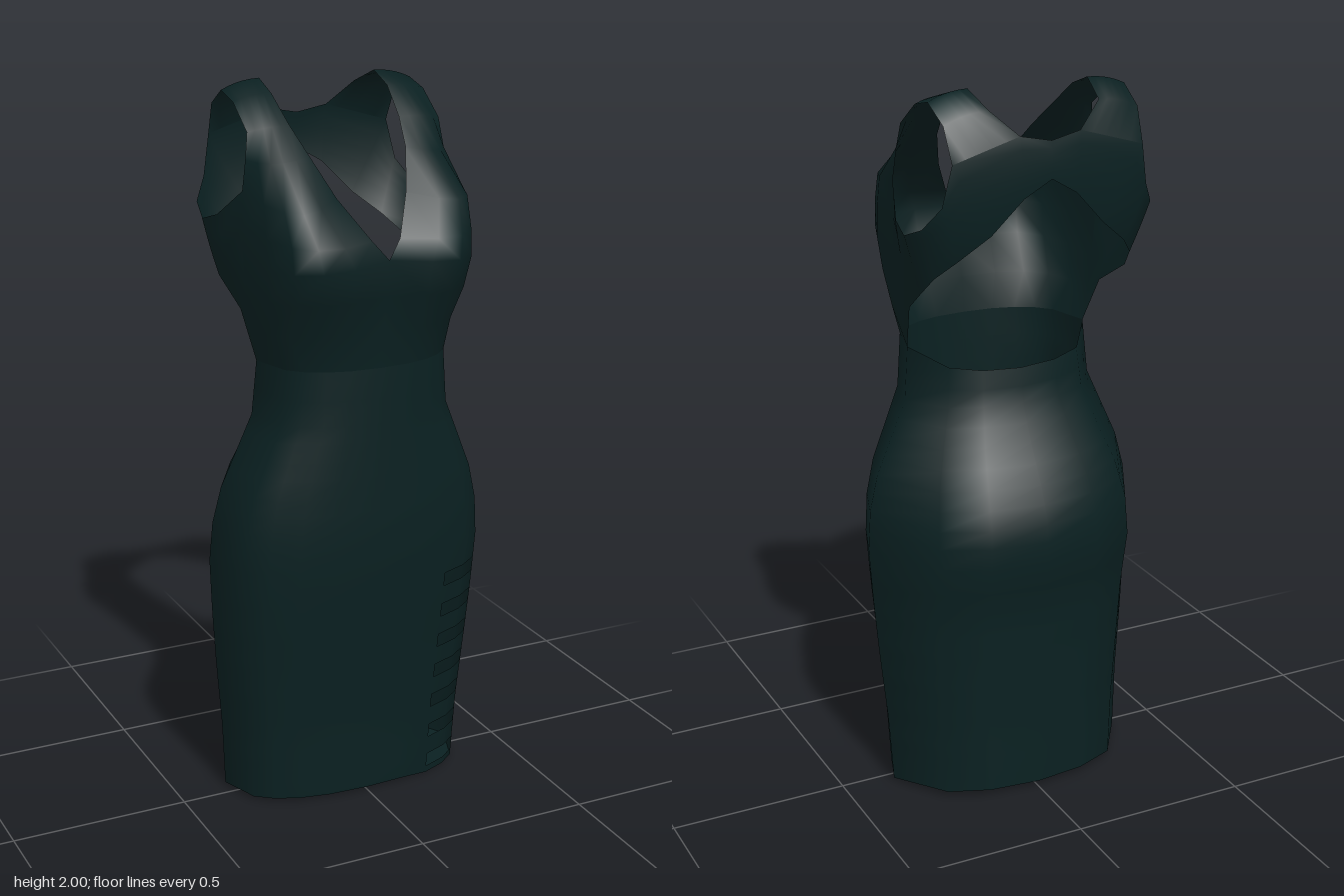
import * as THREE from 'three';
import { mergeGeometries, mergeVertices } from 'three/addons/utils/BufferGeometryUtils.js';

const fabric = new THREE.MeshStandardMaterial({ color: 0x0a2021, side: THREE.DoubleSide });
fabric.name = 'dark teal fabric';

// Grid surface: point(row, col) gives [x, y, z]; skipped cells become openings.
function grid(rows, cols, point, flip = false, skip = () => false) {
  const pos = [], index = [];
  for (let r = 0; r <= rows; r++) for (let c = 0; c <= cols; c++) pos.push(...point(r, c));
  for (let r = 0; r < rows; r++) for (let c = 0; c < cols; c++) {
    if (skip(r, c)) continue;
    const a = r * (cols + 1) + c, b = a + 1, d = a + cols + 1, e = d + 1;
    index.push(...(flip ? [a, b, d, b, e, d] : [a, d, b, b, d, e]));
  }
  const g = new THREE.BufferGeometry();
  g.setAttribute('position', new THREE.Float32BufferAttribute(pos, 3));
  g.setIndex(index);
  return g;
}

function clothMesh(name, parts) {
  const g = mergeVertices(mergeGeometries(parts), 1e-3);
  g.computeVertexNormals();
  const m = new THREE.Mesh(g, fabric);
  m.name = name;
  return m;
}

// Quadratic curve through a nine-number row: start, control, end.
function bezier(row, t) {
  const s = 1 - t;
  return [0, 1, 2].map(k => s * s * row[k] + 2 * s * t * row[3 + k] + t * t * row[6 + k]);
}

// Skirt outline: height, half width, front z, back z.
const OUTLINE = [
  [0, 0.357, 0.162, -0.25], [0.2, 0.367, 0.172, -0.25], [0.4, 0.385, 0.19, -0.255],
  [0.57, 0.397, 0.21, -0.265], [0.72, 0.404, 0.225, -0.3], [0.83, 0.395, 0.23, -0.293],
  [0.93, 0.37, 0.23, -0.25], [1.03, 0.325, 0.23, -0.19], [1.13, 0.28, 0.23, -0.142],
  [1.28, 0.267, 0.23, -0.125],
];

function outlineAt(y) {
  let i = 0;
  while (i < OUTLINE.length - 2 && y > OUTLINE[i + 1][0]) i++;
  const a = OUTLINE[i], b = OUTLINE[i + 1];
  const t = (y - a[0]) / (b[0] - a[0]);
  return [1, 2, 3].map(k => a[k] + (b[k] - a[k]) * t);
}

// Column angles in degrees, from the left side seam over the front to the back
const ANGLES = [0, 30, 45, 60, 75, 90, 105, 120, 135, 150, 180, 225, 247.5, 270, 292.5, 315, 360];
const WAIST = 1.28;

function skirtPoint(y, column) {
  const a = THREE.MathUtils.degToRad(ANGLES[column] % 360);
  const cos = Math.cos(a), sin = Math.sin(a);
  const [w, front, back] = outlineAt(y);
  const mid = -0.04 + 0.06 * y / WAIST;
  const p = 2 / (sin >= 0 ? 2.4 : 2.1);
  const x = Math.sign(cos) * w * Math.abs(cos) ** p;
  const z = mid + ((sin >= 0 ? front : back) - mid) * Math.abs(sin) ** p;
  // Waist edge dips at the back, hem lifts slightly away from the slit
  let height = y;
  if (sin < 0 && y > 1.13) height -= 0.055 * (y - 1.13) / 0.15 * Math.abs(sin);
  if (y === 0) height = column >= 1 && column <= 3 ? 0 : sin < 0 ? 0.018 : 0.01;
  return [x, height, z];
}

function makeSkirt() {
  const COLS = ANGLES.length - 1, LADDER = 7;
  // Row heights: ladder gaps and bars first, then the plain upper part
  const ys = [0];
  for (let i = 0; i < LADDER; i++) ys.push(0.02 + 0.097 * i, 0.06 + 0.097 * i);
  ys.push(0.72, 0.78, 0.83, 0.88, 0.93, 0.98, 1.03, 1.08, 1.13, 1.2, WAIST);
  const gap = (r, c) => c >= 1 && c < 3 && r < 2 * LADDER && r % 2 === 1;
  const skirt = grid(ys.length - 1, COLS, (r, c) => skirtPoint(ys[r], c), false, gap);
  // Flat panel closing the hem
  const hem = grid(1, COLS, (r, c) => r ? skirtPoint(0, c) : [0, 0.012, -0.04]);
  return [clothMesh('skirt', [skirt]), clothMesh('hemPanel', [hem])];
}

// Front panel and shoulder strap, above the waist to the back:
// neckline edge, control, armhole edge
const FRONT = [
  [0, 1.38, 0.243, 0.287, 1.38, 0.26, 0.2821, 1.3688, 0.02],
  [0, 1.48, 0.265, 0.3, 1.48, 0.36, 0.2929, 1.4592, 0.02],
  [0, 1.58, 0.275, 0.31, 1.56, 0.41, 0.2995, 1.5512, 0.02],
  [0.04, 1.63, 0.255, 0.3, 1.62, 0.4, 0.3019, 1.6448, 0.02],
  [0.1, 1.73, 0.17, 0.29, 1.69, 0.36, 0.3, 1.74, 0.02],
  [0.14, 1.83, 0.09, 0.25, 1.81, 0.13, 0.29, 1.82, 0.02],
  [0.16, 1.9, 0.01, 0.23, 1.905, 0.03, 0.28, 1.89, 0.01],
  [0.17, 1.97, -0.08, 0.23, 1.975, -0.07, 0.28, 1.955, -0.08],
  [0.17, 2, -0.16, 0.23, 2, -0.16, 0.28, 1.975, -0.16],
  [0.155, 1.96, -0.25, 0.22, 1.96, -0.25, 0.275, 1.93, -0.24],
  [0.085, 1.895, -0.285, 0.1775, 1.8675, -0.2825, 0.27, 1.84, -0.28],
];

// Side wing and back band, side to centre back: lower edge, control, upper edge
const WING = [
  [0.267, 1.28, 0.02, 0.31, 1.5, 0.02, 0.3, 1.74, 0.02],
  [0.285, 1.41, -0.04, 0.315, 1.54, -0.06, 0.335, 1.665, -0.07],
  [0.3, 1.48, -0.15, 0.325, 1.56, -0.155, 0.345, 1.64, -0.15],
  [0.285, 1.53, -0.2, 0.31, 1.61, -0.22, 0.33, 1.67, -0.225],
  [0.24, 1.58, -0.245, 0.272, 1.66, -0.268, 0.292, 1.73, -0.265],
  [0.16, 1.645, -0.275, 0.22, 1.74, -0.29, 0.27, 1.84, -0.28],
  [0.075, 1.735, -0.29, 0.08, 1.81, -0.297, 0.085, 1.895, -0.285],
  [0, 1.78, -0.297, 0, 1.83, -0.3, 0, 1.878, -0.292],
];

function makeBodice() {
  const parts = [];
  const COLS = 5;
  for (const side of [1, -1]) {
    const mirror = ([x, y, z]) => [side * x, y, z];
    // First row of the front follows the skirt's waist edge
    const front = (r, c) => mirror(r ? bezier(FRONT[r - 1], c / COLS) : skirtPoint(WAIST, COLS - c));
    const wing = (r, c) => mirror(bezier(WING[r], c / COLS));
    // Panels turned so that all face outwards
    parts.push(grid(FRONT.length, COLS, front, side > 0));
    parts.push(grid(WING.length - 1, COLS, wing, side < 0));
  }
  return clothMesh('bodice', parts);
}

export function createModel() {
  const dress = new THREE.Group();
  dress.name = 'dress';
  dress.add(...makeSkirt(), makeBodice());
  return dress;
}
